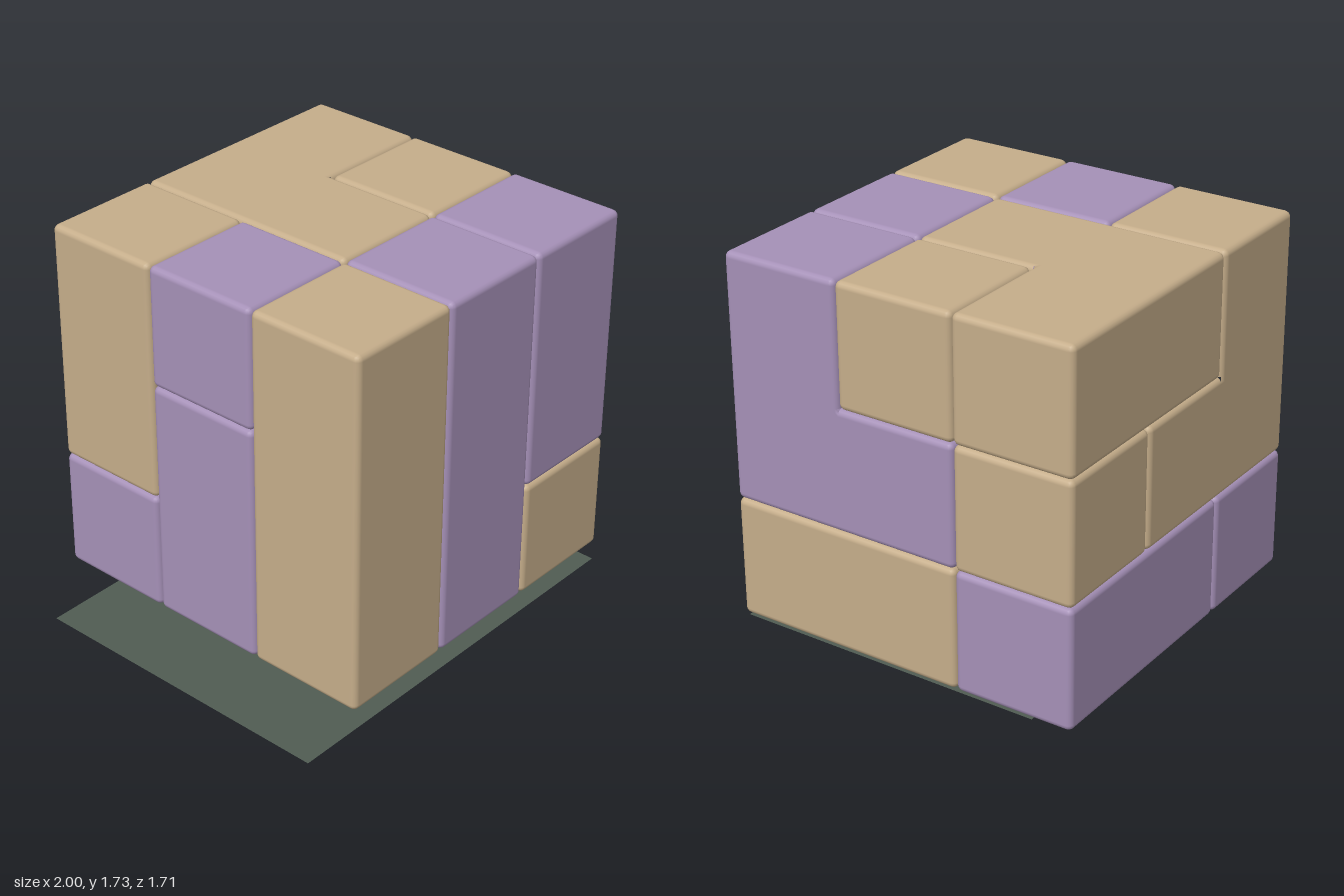
import * as THREE from 'three';

const CELL = 0.56;               // edge of one cube cell
const R = 0.028;                 // edge rounding
const ORIGIN = [-0.682, 0.05, -0.855];

const tan = new THREE.MeshStandardMaterial({ color: 0xc5ad8a });
tan.name = 'tan';
const purple = new THREE.MeshStandardMaterial({ color: 0xa590b7 });
purple.name = 'purple';
const slate = new THREE.MeshStandardMaterial({ color: 0x505c52, side: THREE.DoubleSide });
slate.name = 'slate';

// Cells are [column left to right, layer upwards, row back to front]
const PIECES = [
  ['frontLeftColumn', tan, [[0, 0, 2], [0, 1, 2], [0, 2, 2]]],
  ['frontMiddleColumn', purple, [[1, 0, 2], [1, 1, 2], [1, 2, 2]]],
  ['frontCornerPiece', purple, [[2, 2, 2], [2, 1, 2], [2, 1, 1]]],
  ['lowerSideBar', tan, [[2, 0, 2], [2, 0, 1]]],
  ['lowerBackBar', purple, [[2, 0, 0], [1, 0, 0]]],
  ['lowerBackCube', purple, [[0, 0, 0]]],
  ['sideUpright', purple, [[0, 0, 1], [0, 1, 1]]],
  ['upperSideCube', purple, [[0, 2, 1]]],
  ['backCornerPiece', tan, [[0, 2, 0], [0, 1, 0], [1, 1, 0]]],
  ['middleBackCube', tan, [[2, 1, 0]]],
  ['topCornerPiece', tan, [[2, 2, 0], [1, 2, 0], [1, 2, 1]]],
  ['upperCornerCube', tan, [[2, 2, 1]]],
  ['corePiece', purple, [[1, 0, 1], [1, 1, 1]]],
];

// Positions across a cell face, dense along the rounded borders
const border = [1, Math.tan(Math.PI / 8), 0].map(t => R * (1 - t));
const STEPS = [...border, ...border.map(b => CELL - b).reverse()];

// One piece: exposed cell faces, with vertices pulled to distance R from the inset core
function pieceGeometry(cells) {
  const has = c => cells.some(o => o.every((v, i) => v === c[i]));
  const positions = [], normals = [], index = [];

  // Inset boxes around a cell and around each pair it forms with a neighbour
  const coresOf = a => cells
    .filter(b => a.reduce((sum, v, i) => sum + Math.abs(v - b[i]), 0) <= 1)
    .map(b => new THREE.Box3(
      new THREE.Vector3(...a.map((v, i) => Math.min(v, b[i]) * CELL + R)),
      new THREE.Vector3(...a.map((v, i) => (Math.max(v, b[i]) + 1) * CELL - R))));

  for (const cell of cells) {
    const cores = [...coresOf(cell), ...cells.flatMap(coresOf)];
    for (let axis = 0; axis < 3; axis++) for (const sign of [-1, 1]) {
      const next = [...cell];
      next[axis] += sign;
      if (has(next)) continue;
      const u = (axis + 1) % 3, v = (axis + 2) % 3, n = STEPS.length;
      const start = positions.length / 3;
      for (const a of STEPS) for (const b of STEPS) {
        const c = cell.map(k => k * CELL);
        c[axis] += sign > 0 ? CELL : 0;
        c[u] += a;
        c[v] += b;
        const p = new THREE.Vector3(...c);
        let near = null, best = Infinity;
        for (const box of cores) {
          const q = box.clampPoint(p, new THREE.Vector3());
          const d = q.distanceTo(p);
          if (d < best - 1e-6) { best = d; near = q; }
        }
        const normal = p.clone().sub(near).normalize();
        positions.push(...near.addScaledVector(normal, R).toArray());
        normals.push(...normal.toArray());
      }
      for (let i = 0; i < n - 1; i++) for (let j = 0; j < n - 1; j++) {
        const p = start + i * n + j, q = p + n;
        if (sign > 0) index.push(p, q, q + 1, p, q + 1, p + 1);
        else index.push(p, q + 1, q, p, p + 1, q + 1);
      }
    }
  }
  const geometry = new THREE.BufferGeometry();
  geometry.setAttribute('position', new THREE.Float32BufferAttribute(positions, 3));
  geometry.setAttribute('normal', new THREE.Float32BufferAttribute(normals, 3));
  geometry.setIndex(index);
  return geometry;
}

export function createModel() {
  const model = new THREE.Group();
  model.name = 'puzzleCube';

  // Interlocking pieces
  const cube = new THREE.Group();
  cube.name = 'cube';
  cube.position.set(...ORIGIN);
  for (const [name, material, cells] of PIECES) {
    const piece = new THREE.Mesh(pieceGeometry(cells), material);
    piece.name = name;
    cube.add(piece);
  }
  model.add(cube);

  // Flat sheet beneath the cube
  const sheet = new THREE.Mesh(new THREE.PlaneGeometry(1.935, 1.48), slate);
  sheet.name = 'baseSheet';
  sheet.rotation.x = -Math.PI / 2;
  sheet.position.set(-0.0325, 0, 0.113);
  model.add(sheet);

  return model;
}
